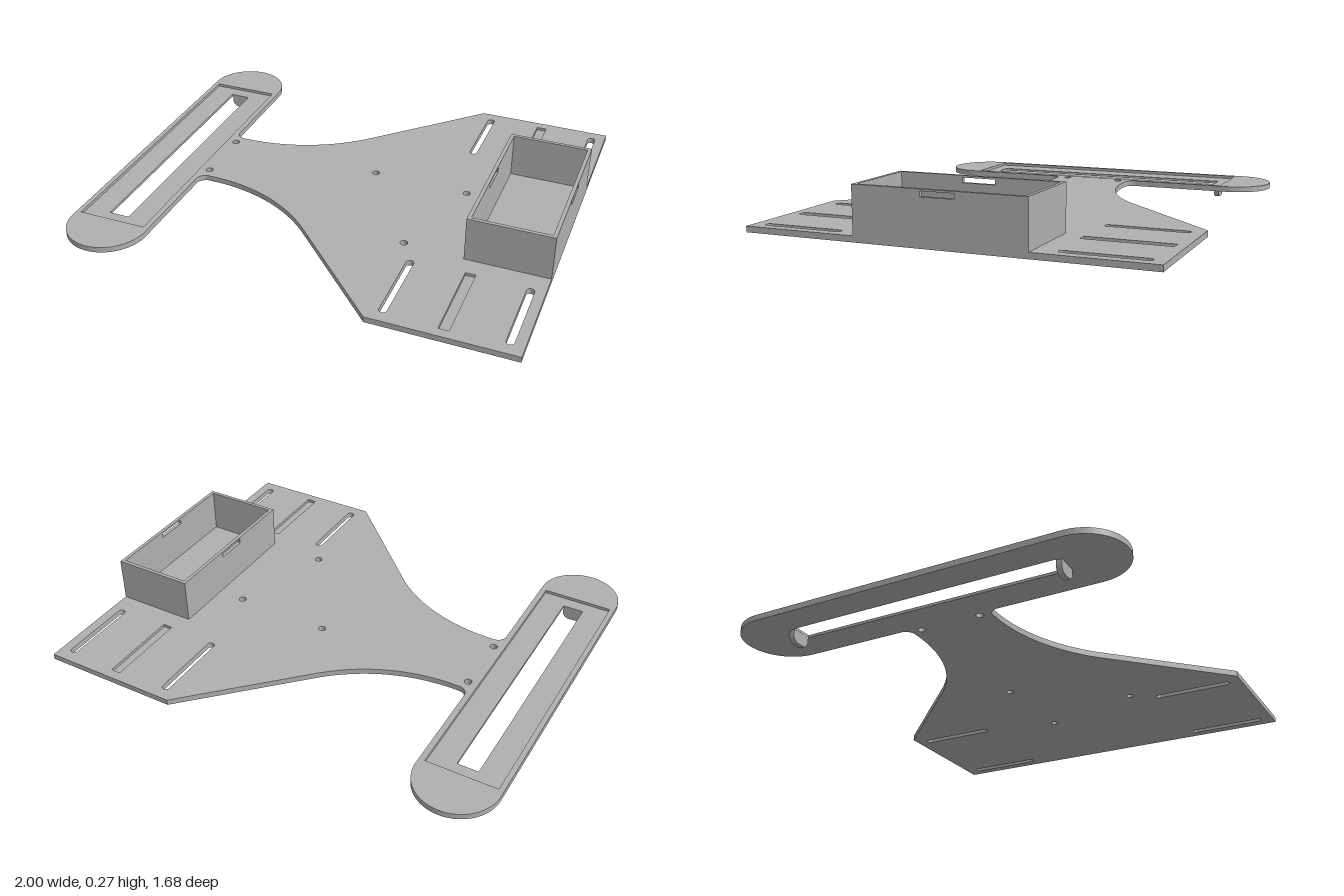
import * as THREE from 'three';

const BOTTOM = 0.051, TOP = 0.076, FLOOR = 0.063, RIM = 0.272;

export function createModel() {
  const model = new THREE.Group();
  model.name = 'mountingPlate';
  const grey = new THREE.MeshStandardMaterial({ color: 0xb0b0b0 });
  grey.name = 'plain grey';

  const add = (name, geometry, x = 0, y = 0, z = 0) => {
    const mesh = new THREE.Mesh(geometry, grey);
    mesh.name = name;
    mesh.position.set(x, y, z);
    model.add(mesh);
    return mesh;
  };
  // Shapes are drawn in plan (x, -z) and raised between two heights
  const raise = (shape, y0, y1) =>
    new THREE.ExtrudeGeometry(shape, { depth: y1 - y0, bevelEnabled: false, curveSegments: 32 })
      .rotateX(-Math.PI / 2).translate(0, y0, 0);
  const rect = (x0, x1, y0, y1, Kind = THREE.Path) => {
    const p = new Kind();
    p.moveTo(x0, y0).lineTo(x1, y0).lineTo(x1, y1).lineTo(x0, y1).closePath();
    return p;
  };
  const roundHole = (x, z, r = 0.016) => new THREE.Path().absarc(x, -z, r, 0, Math.PI * 2);
  const roundSlot = (x, y0, y1, r = 0.016) => {
    const p = new THREE.Path();
    p.absarc(x, y1 - r, r, 0, Math.PI);
    p.absarc(x, y0 + r, r, Math.PI, Math.PI * 2);
    return p.closePath();
  };

  // Plate outline: wide tail, curved neck and a round-ended cross bar
  const P = Math.PI, R = 0.756, neckX = -0.58, neck = 0.18, half = 0.842;
  const bar = 0.1765, barX = -0.8235, fillet = 0.042, filletX = -0.605;
  const plate = new THREE.Shape();
  plate.moveTo(1, -half).lineTo(1, half).lineTo(0.395, half);
  plate.absarc(neckX, neck + R, R, -P / 4, -P / 2, true);
  plate.absarc(filletX, neck + fillet, fillet, -P / 2, -P, true);
  plate.absarc(barX, half - bar, bar, 0, P, false);
  plate.absarc(barX, bar - half, bar, P, 2 * P, false);
  plate.absarc(filletX, -neck - fillet, fillet, P, P / 2, true);
  plate.absarc(neckX, -neck - R, R, P / 2, P / 4, true);
  plate.lineTo(0.395, -half).closePath();

  // Screw holes, adjustment slots and pocket openings
  const screws = [[-0.626, -0.135], [-0.626, 0.132], [0.088, -0.122], [0.519, -0.11], [0.382, 0.341]];
  for (const [x, z] of screws) plate.holes.push(roundHole(x, z));
  for (const x of [0.449, 0.941]) {
    plate.holes.push(roundSlot(x, 0.445, 0.791), roundSlot(x, -0.791, -0.445));
  }
  const recess = [-0.978, -0.672, -0.638, 0.638];
  const pockets = [[0.674, 0.717, 0.441, 0.8], [0.674, 0.717, -0.8, -0.441]];
  for (const r of [recess, ...pockets]) plate.holes.push(rect(...r));
  add('basePlate', raise(plate, BOTTOM, TOP));

  // Lowered floors of the pockets and of the slotted recess
  for (const r of pockets) add('pocketFloor', raise(rect(...r, THREE.Shape), BOTTOM, FLOOR));
  const recessFloor = rect(...recess, THREE.Shape);
  recessFloor.holes.push(rect(-0.872, -0.781, -0.58, 0.58));
  add('recessFloor', raise(recessFloor, BOTTOM, FLOOR));

  // Open box: two end walls with a strap slot, two plain side walls
  const wall = 0.016, boxHalf = 0.357, x0 = 0.642;
  const endWall = rect(-boxHalf, boxHalf, TOP, RIM, THREE.Shape);
  endWall.holes.push(rect(-0.07, 0.07, 0.243, 0.264));
  const endGeometry = new THREE.ExtrudeGeometry(endWall, { depth: wall, bevelEnabled: false })
    .rotateY(Math.PI / 2);
  for (const x of [x0, 1 - wall]) add('boxEndWall', endGeometry, x);
  const sideGeometry = new THREE.BoxGeometry(1 - x0 - 2 * wall, RIM - TOP, wall);
  for (const s of [-1, 1]) {
    add('boxSideWall', sideGeometry, (1 + x0) / 2, (RIM + TOP) / 2, s * (boxHalf - wall / 2));
  }

  // Round-cornered tabs below the ends of the long slot
  const tab = new THREE.Shape(), w = 0.0435, r = 0.03;
  tab.moveTo(w, BOTTOM).lineTo(-w, BOTTOM);
  tab.absarc(-w + r, r, r, P, P * 1.5, false);
  tab.absarc(w - r, r, r, P * 1.5, P * 2, false);
  tab.closePath();
  const tabGeometry = new THREE.ExtrudeGeometry(tab, { depth: 0.023, bevelEnabled: false, curveSegments: 16 })
    .translate(0, 0, -0.0115);
  for (const s of [-1, 1]) add('slotTab', tabGeometry, -0.825, 0, s * 0.592);

  return model;
}
